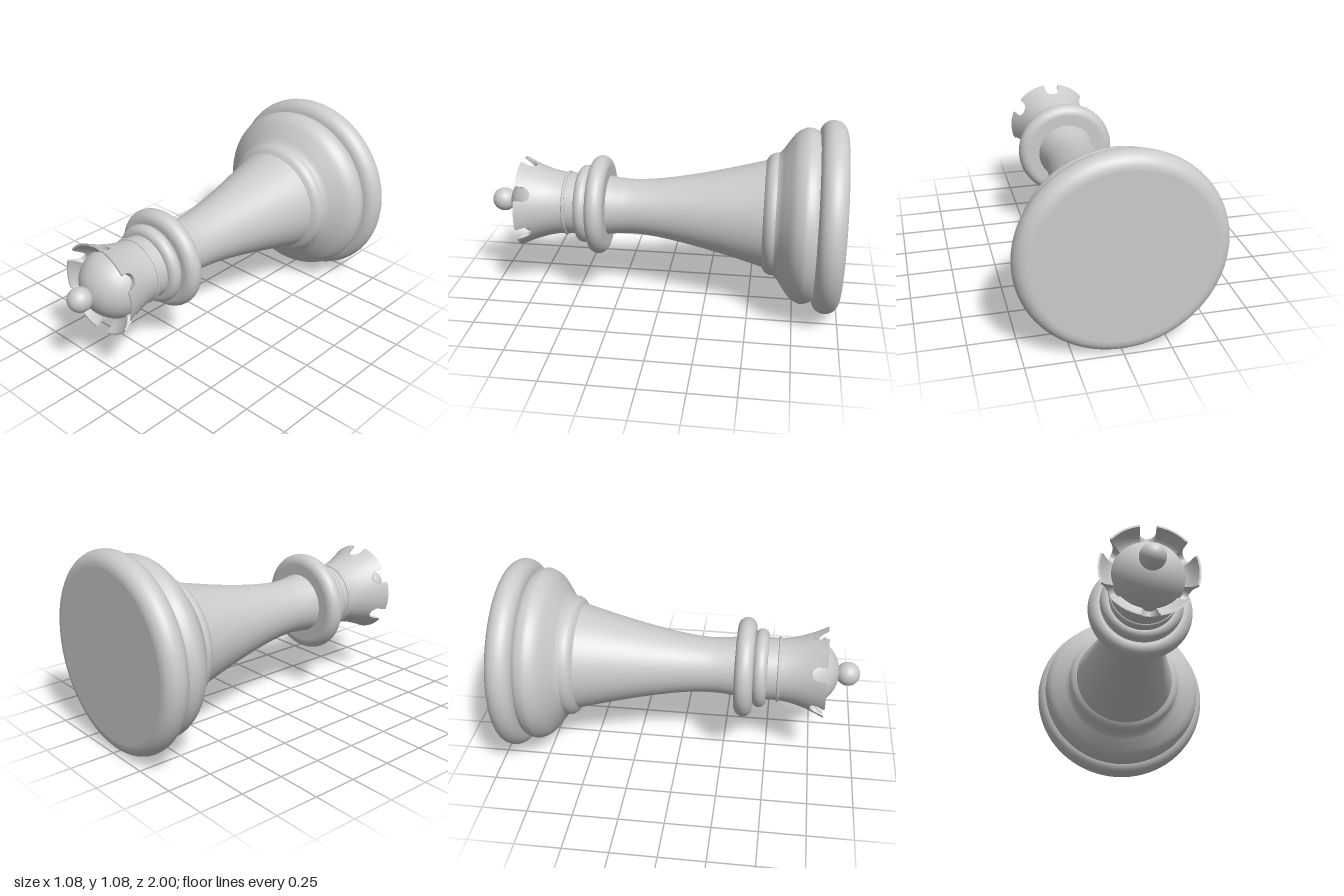
import * as THREE from 'three';

const SEG = 96;
const mat = new THREE.MeshStandardMaterial({ color: 0xcccccc, side: THREE.DoubleSide });

export function createModel() {
  const group = new THREE.Group();
  const piece = new THREE.Group(); // built upright, then laid along z
  piece.name = 'chessPiece';

  const add = (name, geometry, y = 0) => {
    const mesh = new THREE.Mesh(geometry, mat);
    mesh.name = name;
    mesh.position.y = y;
    piece.add(mesh);
    return mesh;
  };
  const vec = (pts) => pts.map(([r, y]) => new THREE.Vector2(r, y));
  const turned = (name, pts) => add(name, new THREE.LatheGeometry(pts, SEG));
  const turnedCurve = (name, pts, n = 32) => turned(name, new THREE.SplineCurve(vec(pts)).getPoints(n));

  // Disc with a fully rounded rim and flat faces
  const roundedDisc = (name, radius, y0, y1) => {
    const h = (y1 - y0) / 2, rim = [];
    for (let i = 0; i <= 16; i++) {
      const a = -Math.PI / 2 + (Math.PI * i) / 16;
      rim.push([radius - h + h * Math.cos(a), (y0 + y1) / 2 + h * Math.sin(a)]);
    }
    turned(name, vec(rim));
    const lower = add(name + 'Underside', new THREE.CircleGeometry(radius - h, SEG), y0);
    lower.rotation.x = Math.PI / 2;
    const upper = add(name + 'Top', new THREE.CircleGeometry(radius - h, SEG), y1);
    upper.rotation.x = -Math.PI / 2;
  };

  // Base, shoulder and foot ring
  roundedDisc('base', 0.538, 0, 0.148);
  turnedCurve('shoulder', [[0.455, 0.135], [0.476, 0.155], [0.488, 0.185], [0.489, 0.22], [0.462, 0.27],
    [0.405, 0.315], [0.362, 0.345], [0.343, 0.365]]);
  turnedCurve('footRing', [[0.343, 0.365], [0.341, 0.39], [0.328, 0.412], [0.308, 0.427], [0.298, 0.432]], 16);

  // Tapering stem
  turnedCurve('stem', [[0.3, 0.43], [0.255, 0.6], [0.208, 0.8], [0.171, 1.0], [0.156, 1.15], [0.159, 1.24], [0.17, 1.33]], 40);

  // Collars, neck and bead
  roundedDisc('collar', 0.281, 1.31, 1.413);
  roundedDisc('upperCollar', 0.222, 1.408, 1.487);
  turned('neck', vec([[0.176, 1.48], [0.175, 1.555]]));
  const bead = add('neckBead', new THREE.TorusGeometry(0.176, 0.009, 10, SEG), 1.55);
  bead.rotation.x = Math.PI / 2;

  // Crown: flared cup, with six radial notches in its upper part
  const notchR = 0.041, notchY = 1.77, top = 1.81, y0 = notchY - notchR;
  const outer = (y) => 0.175 + 0.08 * Math.pow(Math.max(0, y - 1.54) / 0.27, 1.7);
  const inner = (y) => 0.165 + 0.08 * Math.sqrt(Math.max(0, (y - 1.745) / (top - 1.745)));
  const halfWidth = (y) => {
    const d = Math.min(0, y - notchY);
    const flare = Math.max(0, y - 1.798) / 0.012;
    return Math.sqrt(Math.max(0, notchR ** 2 - d * d)) + 0.006 * flare * flare;
  };
  const cup = [];
  for (let i = 0; i <= 16; i++) {
    const y = 1.55 + ((y0 - 1.55) * i) / 16;
    cup.push([outer(y), y]);
  }
  turned('crownCup', vec(cup));

  // Profile of one crown segment
  const ROWS = 20, STEPS = 16;
  const outside = [], inside = [];
  for (let i = 0; i <= ROWS; i++) {
    const y = y0 + ((top - y0) * (1 - Math.cos((Math.PI * i) / ROWS))) / 2;
    outside.push([outer(y), y]);
    inside.push([inner(y), y]);
  }
  // Strip between two equal-length lines of points
  const strip = (lines) => {
    const pos = [], idx = [], n = lines[0].length;
    lines.forEach((line) => line.forEach((p) => pos.push(...p)));
    for (let i = 0; i < lines.length - 1; i++) {
      for (let j = 0; j < n - 1; j++) {
        const a = i * n + j, b = a + n;
        idx.push(a, b, a + 1, b, b + 1, a + 1);
      }
    }
    const g = new THREE.BufferGeometry();
    g.setAttribute('position', new THREE.Float32BufferAttribute(pos, 3));
    g.setIndex(idx);
    g.computeVertexNormals();
    return g;
  };
  for (let k = 0; k < 6; k++) {
    const mid = (k * Math.PI) / 3 + 0.02;
    const place = ([r, y], s) => {
      const a = mid + s * (Math.PI / 6 - Math.asin(halfWidth(y) / r));
      return [r * Math.cos(a), y, -r * Math.sin(a)];
    };
    const sweep = (profile) => {
      const lines = [];
      for (let j = 0; j <= STEPS; j++) lines.push(profile.map((p) => place(p, -1 + (2 * j) / STEPS)));
      return strip(lines);
    };
    add('crownSegmentOuter', sweep(outside));
    add('crownSegmentInner', sweep([...inside].reverse()));
    add('crownSegmentRim', sweep([outside[ROWS], inside[ROWS]]));
    add('crownNotchRight', strip([inside.map((p) => place(p, -1)), outside.map((p) => place(p, -1))]));
    add('crownNotchLeft', strip([outside.map((p) => place(p, 1)), inside.map((p) => place(p, 1))]));
  }

  // Dome and finial ball
  add('dome', new THREE.SphereGeometry(0.195, 64, 20, 0, Math.PI * 2, 0, Math.PI / 2), 1.69);
  add('finial', new THREE.SphereGeometry(0.067, 40, 28), 1.933);

  piece.rotation.x = Math.PI / 2;
  piece.position.set(0, 0.538, -1);
  group.add(piece);
  return group;
}
